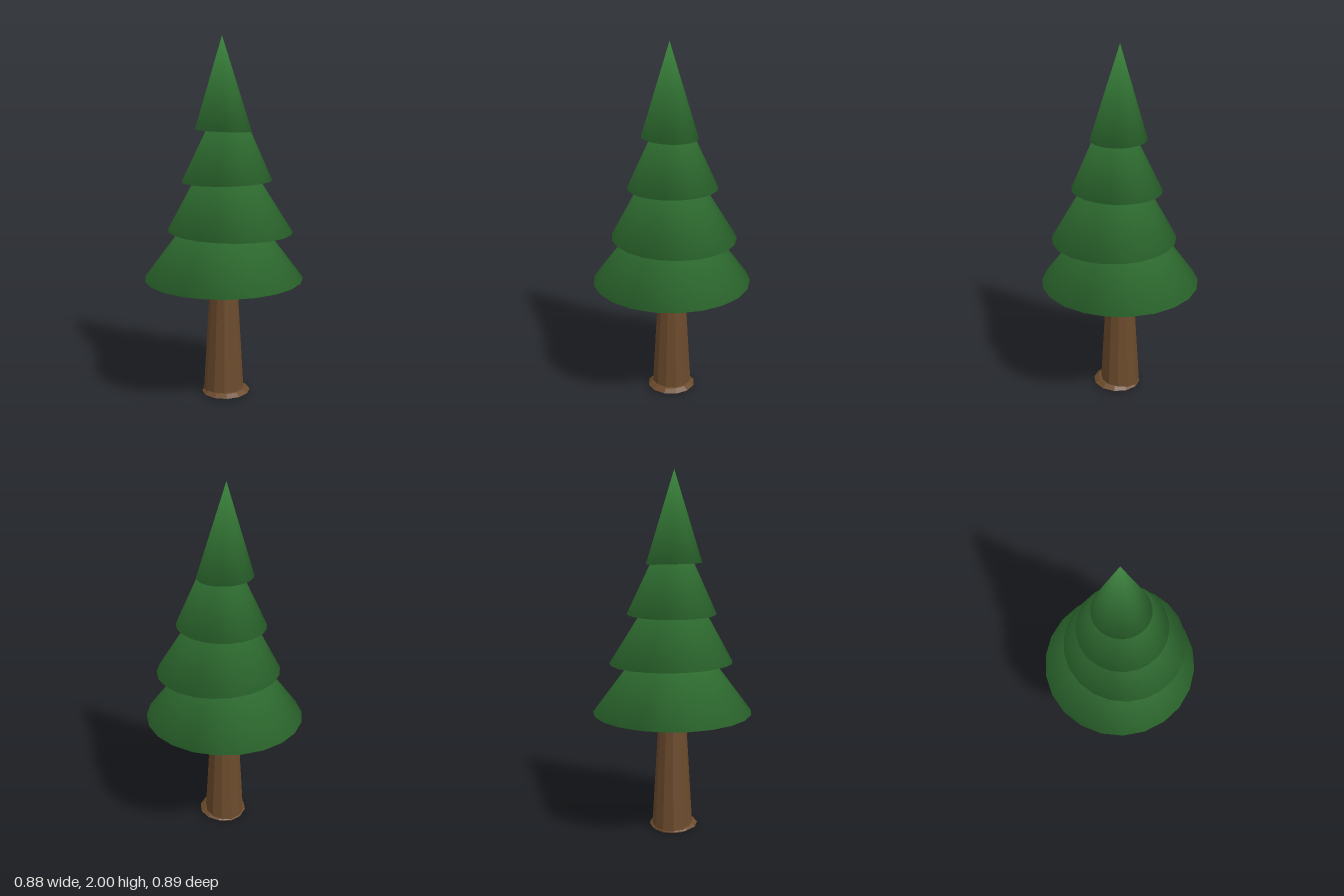
import * as THREE from 'three';

const SIDES = 22;

// Closed, softly shaded cone: a slightly tilted rim, a free apex and a flat base.
// base = [x, y, z], tilt = rise of the rim per unit of x and z.
function foliageCone(base, radius, apex, tilt) {
  const pos = [], nor = [], index = [];
  const height = apex[1] - base[1];
  const slant = Math.hypot(height, radius);
  // rim normals blend the sloping side with the base, weighted by corner angle
  const baseAngle = 1 - 2 / SIDES;
  const out = height / slant, up = radius / slant - baseAngle;
  const len = Math.hypot(out, up);
  for (let i = 0; i < SIDES; i++) {
    const a = (i / SIDES) * Math.PI * 2;
    const s = Math.sin(a), c = Math.cos(a);
    const x = s * radius, z = c * radius;
    pos.push(base[0] + x, base[1] + x * tilt[0] + z * tilt[1], base[2] + z);
    nor.push((s * out) / len, up / len, (c * out) / len);
    index.push(i, (i + 1) % SIDES, SIDES);
    if (i > 0 && i < SIDES - 1) index.push(0, i + 1, i);
  }
  pos.push(...apex);
  nor.push(0, 1, 0);
  const g = new THREE.BufferGeometry();
  g.setAttribute('position', new THREE.Float32BufferAttribute(pos, 3));
  g.setAttribute('normal', new THREE.Float32BufferAttribute(nor, 3));
  g.setIndex(index);
  return g;
}

export function createModel() {
  const tree = new THREE.Group();
  tree.name = 'pineTree';

  const needles = new THREE.MeshStandardMaterial({ color: 0x38803a });
  needles.name = 'needle green';
  const bark = new THREE.MeshStandardMaterial({ color: 0x6b4a2c });
  bark.name = 'bark brown';

  const add = (name, geometry, material) => {
    const mesh = new THREE.Mesh(geometry, material);
    mesh.name = name;
    tree.add(mesh);
    return mesh;
  };
  const faceted = (g) => {
    const flat = g.toNonIndexed();
    flat.computeVertexNormals();
    return flat;
  };

  // tapered trunk, running up into the lowest foliage
  const trunk = new THREE.CylinderGeometry(0.07, 0.115, 0.76, 12);
  trunk.translate(0, 0.38, 0);
  add('trunk', faceted(trunk), bark);

  // thin, slightly tilted flare at the foot of the trunk
  const flare = new THREE.CylinderGeometry(0.11, 0.137, 0.018, 12);
  const foot = add('trunkFlare', faceted(flare), bark);
  foot.position.set(0.018, 0.021, 0.007);
  foot.rotation.z = 0.03;

  // foliage tiers from bottom to top
  const tiers = [
    { base: [0, 0.68, 0], radius: 0.443, apex: [-0.005, 1.27, 0], tilt: [0.005, 0] },
    { base: [0.038, 0.95, -0.005], radius: 0.345, apex: [0.015, 1.54, 0.02], tilt: [-0.012, 0.012] },
    { base: [0.018, 1.226, -0.002], radius: 0.248, apex: [0.035, 1.76, 0.005], tilt: [0.025, 0] },
    { base: [0.003, 1.5, 0.01], radius: 0.154, apex: [-0.005, 2, 0.01], tilt: [-0.025, 0.03] },
  ];
  tiers.forEach((t, i) =>
    add(`foliageTier${i + 1}`, foliageCone(t.base, t.radius, t.apex, t.tilt), needles));

  return tree;
}
